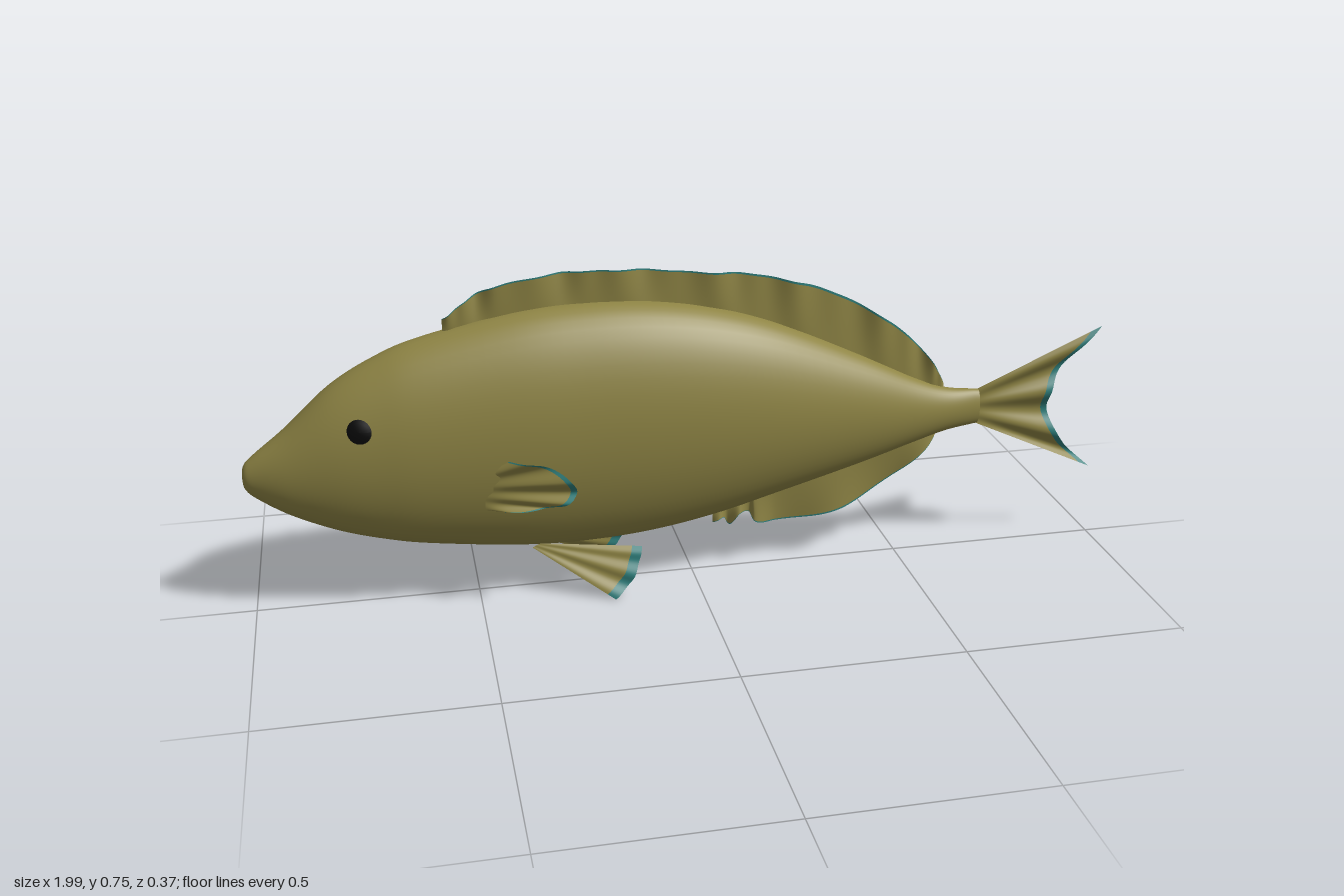
import * as THREE from 'three';

const mat = (name, color, side = THREE.FrontSide) => {
  const m = new THREE.MeshStandardMaterial({ color, side });
  m.name = name;
  return m;
};
const olive = mat('olive skin', 0x8f8545);
const finOlive = mat('olive fin', 0x8f8545, THREE.DoubleSide);
const teal = mat('teal fin edge', 0x2f7f7c, THREE.DoubleSide);
const black = mat('black eye', 0x080808, THREE.DoubleSide);

// Body stations: x, top, bottom, half width
const STATIONS = [
  [-1, 0.33, 0.33, 0], [-0.995, 0.36, 0.305, 0.02], [-0.97, 0.385, 0.28, 0.036], [-0.9, 0.44, 0.235, 0.066],
  [-0.8, 0.53, 0.19, 0.095], [-0.7, 0.588, 0.16, 0.112], [-0.6, 0.625, 0.14, 0.123], [-0.4, 0.668, 0.116, 0.134],
  [-0.25, 0.68, 0.112, 0.135], [-0.1, 0.675, 0.123, 0.133], [0.05, 0.65, 0.15, 0.125], [0.2, 0.602, 0.19, 0.108],
  [0.4, 0.51, 0.245, 0.074], [0.53, 0.445, 0.285, 0.049], [0.61, 0.415, 0.308, 0.034], [0.69, 0.405, 0.32, 0.02],
];
const curve = (pts) => new THREE.CatmullRomCurve3(pts.map((p) => new THREE.Vector3(...p)));
const RINGS = 90;
const xs = curve(STATIONS.map((s) => [s[0], 0, 0]));
xs.curveType = 'catmullrom';
const sizes = curve(STATIONS.map((s) => [s[1], s[2], s[3]]));
sizes.curveType = 'catmullrom';
const rings = Array.from({ length: RINGS + 1 }, (_, i) => {
  const s = sizes.getPoint(i / RINGS);
  return { x: xs.getPoint(i / RINGS).x, top: s.x, bottom: s.y, half: Math.max(s.z, 0) };
});

// Body measurements at any x
function bodyAt(x) {
  let i = 0;
  while (i < RINGS - 1 && rings[i + 1].x < x) i++;
  const a = rings[i], b = rings[i + 1];
  const t = THREE.MathUtils.clamp((x - a.x) / (b.x - a.x), 0, 1);
  const mix = (k) => THREE.MathUtils.lerp(a[k], b[k], t);
  return { top: mix('top'), bottom: mix('bottom'), half: mix('half') };
}
function bodyZ(x, y) {
  const b = bodyAt(x);
  const r = (y - (b.top + b.bottom) / 2) / ((b.top - b.bottom) / 2);
  return b.half * Math.sqrt(Math.max(0, 1 - r * r));
}

// Smooth sheet from a point rule over u, v in 0..1
function sheet(nu, nv, rule) {
  const pos = [], index = [];
  for (let i = 0; i <= nu; i++) for (let j = 0; j <= nv; j++) pos.push(...rule(i / nu, j / nv));
  for (let i = 0; i < nu; i++) {
    for (let j = 0; j < nv; j++) {
      const a = i * (nv + 1) + j, b = a + nv + 1;
      index.push(a, b, a + 1, b, b + 1, a + 1);
    }
  }
  const g = new THREE.BufferGeometry();
  g.setAttribute('position', new THREE.Float32BufferAttribute(pos, 3));
  g.setIndex(index);
  g.computeVertexNormals();
  return g;
}

function addMesh(parent, name, geometry, material) {
  const m = new THREE.Mesh(geometry, material);
  m.name = name;
  parent.add(m);
  return m;
}

// Fin stretched from an inner to an outer line, with ripples and a coloured edge
function addFin(parent, name, inner, outer, ripple, trim, steps = 80) {
  const a = curve(inner), b = curve(outer);
  const point = (u, v) => {
    const p = a.getPoint(u).lerp(b.getPoint(u), v);
    return [p.x, p.y, p.z + ripple(u, v)];
  };
  const fin = new THREE.Group();
  fin.name = name;
  addMesh(fin, name + 'Web', sheet(steps, 8, (u, v) => point(u, v * (1 - trim))), finOlive);
  addMesh(fin, name + 'Edge', sheet(steps, 1, (u, v) => point(u, 1 - trim + v * trim)), teal);
  parent.add(fin);
}

export function createModel() {
  const fish = new THREE.Group();
  fish.name = 'fish';

  // Body: elliptical rings from snout to tail root
  const body = sheet(RINGS, 48, (u, v) => {
    const r = rings[Math.round(u * RINGS)], t = (v % 1) * Math.PI * 2;
    const cy = (r.top + r.bottom) / 2;
    return [r.x, cy + Math.cos(t) * (r.top - r.bottom) / 2, -Math.sin(t) * r.half];
  });
  // Share normals along the seam on the back
  const n = body.attributes.normal;
  for (let i = 0; i <= RINGS; i++) {
    for (const k of [i * 49, i * 49 + 48]) {
      const v = new THREE.Vector3(n.getX(k), n.getY(k), 0).normalize();
      n.setXYZ(k, v.x, v.y, 0);
    }
  }
  addMesh(fish, 'body', body, olive);
  const cap = addMesh(fish, 'tailRoot', new THREE.CircleGeometry(1, 32), olive);
  cap.rotation.y = Math.PI / 2;
  cap.scale.set(0.02, 0.0425, 1);
  cap.position.set(0.69, 0.3625, 0);

  // Dorsal fin, rooted just inside the back
  const dorsal = [
    [-0.55, 0.665], [-0.5, 0.7], [-0.43, 0.733], [-0.3, 0.75], [-0.2, 0.754], [-0.08, 0.745], [0.05, 0.733],
    [0.16, 0.718], [0.27, 0.69], [0.4, 0.63], [0.5, 0.56], [0.57, 0.485], [0.605, 0.425],
  ];
  addFin(fish, 'dorsalFin',
    dorsal.map(([x]) => [x, bodyAt(x).top - 0.015, 0]), dorsal.map(([x, y]) => [x, y, 0]),
    (u, v) => v * (0.008 * Math.sin(u * 42) + 0.004 * Math.sin(u * 91)), 0.04, 160);

  // Anal fin with a ragged front
  const anal = [
    [0.05, 0.12], [0.075, 0.132], [0.092, 0.108], [0.115, 0.14], [0.14, 0.135], [0.15, 0.117], [0.2, 0.108],
    [0.3, 0.114], [0.4, 0.145], [0.5, 0.205], [0.57, 0.27], [0.61, 0.325],
  ];
  addFin(fish, 'analFin',
    anal.map(([x]) => [x, bodyAt(x).bottom + 0.015, 0]), anal.map(([x, y]) => [x, y, 0]),
    (u, v) => v * 0.01 * Math.sin(u * 30), 0.03, 120);

  // Forked tail fin
  const fork = [[0.99, 0.54], [0.92, 0.47], [0.882, 0.41], [0.87, 0.36], [0.882, 0.305], [0.92, 0.245], [0.99, 0.18]];
  addFin(fish, 'tailFin',
    fork.map((_, i) => [0.68, 0.402 - i * 0.0132, 0]), fork.map(([x, y]) => [x, y, 0]),
    (u, v) => v * 0.01 * Math.sin(u * 19), 0.085);

  for (const side of [1, -1]) {
    const label = side > 0 ? 'left' : 'right';
    const flip = ([x, y, z]) => [x, y, z * side];

    // Pectoral fin, a pleated fan
    const fan = [
      [-0.43, 0.378, 0.137], [-0.36, 0.37, 0.163], [-0.305, 0.34, 0.177], [-0.29, 0.308, 0.181],
      [-0.315, 0.282, 0.174], [-0.37, 0.265, 0.157], [-0.46, 0.259, 0.13],
    ];
    addFin(fish, label + 'PectoralFin',
      fan.map((_, i) => flip([-0.485, 0.345 - i * 0.0142, 0.119])), fan.map(flip),
      (u, v) => side * v * 0.008 * Math.sin(u * 22), 0.07, 60);

    // Pelvic fin, a narrow fan spread down and outward
    const rear = [[-0.13, 0.11, 0.068], [-0.142, 0.075, 0.09], [-0.162, 0.037, 0.102], [-0.2, 0.004, 0.113]];
    addFin(fish, label + 'PelvicFin',
      rear.map((_, i) => flip([-0.36 - i * 0.006, 0.125 - i * 0.003, 0.036])), rear.map(flip),
      (u, v) => side * v * 0.004 * Math.sin(u * 15), 0.1, 30);

    // Eye, a thin disc following the cheek
    addMesh(fish, label + 'Eye', sheet(24, 4, (u, v) => {
      const x = -0.742 + 0.026 * v * Math.cos(u * Math.PI * 2);
      const y = 0.457 + 0.026 * v * Math.sin(u * Math.PI * 2);
      return [x, y, side * (bodyZ(x, y) + 0.004 * (1 - v * v) + 0.002)];
    }), black);
  }
  return fish;
}
